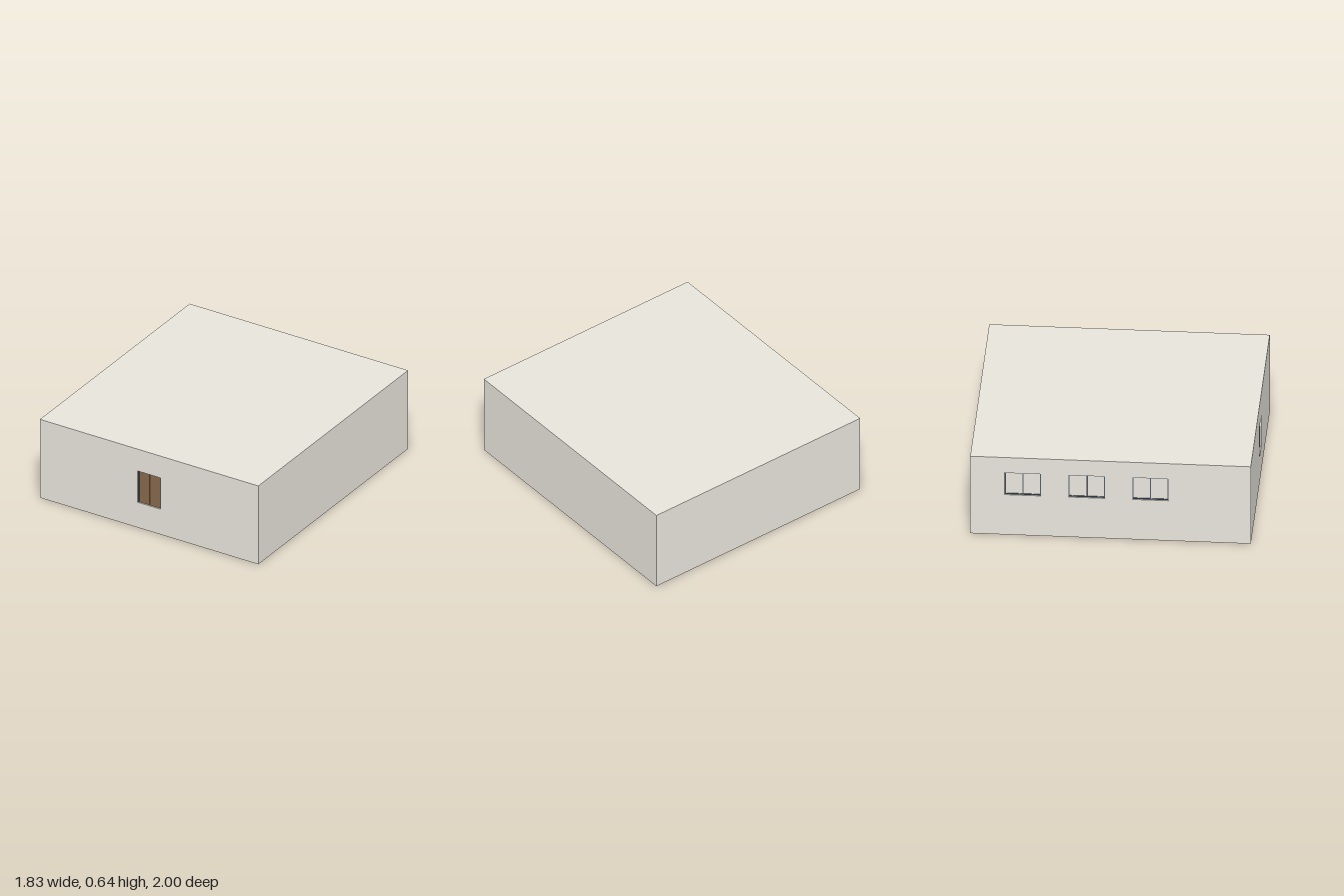
import * as THREE from 'three';

const mat = (name, color) => {
  const m = new THREE.MeshStandardMaterial({ color });
  m.name = name;
  return m;
};

export function createModel() {
  const wall = mat('warm grey plaster', 0xe7e4dc);
  const slate = mat('slate carpet', 0x687482);
  const timber = mat('timber floor', 0xc6ac80);
  const doorBrown = mat('door brown', 0x86684c);
  const frameBlue = mat('slate frame', 0x4e5c6c);
  const trim = mat('beige trim', 0xd8d1c2);

  const model = new THREE.Group();
  model.name = 'lectureHall';

  const W = 0.917, D = 1, H = 0.637, T = 0.03;

  const add = (name, geometry, material, parent = model) => {
    const mesh = new THREE.Mesh(geometry, material);
    mesh.name = name;
    parent.add(mesh);
    return mesh;
  };
  // Box given by its limits on each axis
  const box = (name, material, [x0, x1], [y0, y1], [z0, z1], parent) => {
    const mesh = add(name, new THREE.BoxGeometry(x1 - x0, y1 - y0, z1 - z0), material, parent);
    mesh.position.set((x0 + x1) / 2, (y0 + y1) / 2, (z0 + z1) / 2);
    return mesh;
  };
  const rect = (Kind, x0, x1, y0, y1) => new Kind([
    new THREE.Vector2(x0, y0), new THREE.Vector2(x1, y0),
    new THREE.Vector2(x1, y1), new THREE.Vector2(x0, y1),
  ]);
  // Upright wall with rectangular openings
  const piercedWall = (name, x0, x1, holes) => {
    const shape = rect(THREE.Shape, x0, x1, 0, H - T);
    holes.forEach((h) => shape.holes.push(rect(THREE.Path, ...h)));
    return add(name, new THREE.ExtrudeGeometry(shape, { depth: T, bevelEnabled: false }), wall);
  };

  // Shell: roof, plain walls and pierced walls, open underneath
  box('roof', wall, [-W, W], [H - T, H], [-D, D]);
  box('backWall', wall, [-W, W], [0, H - T], [-D, -D + T]);
  box('leftWall', wall, [W - T, W], [0, H - T], [-D + T, D - T]);
  const doorHalf = 0.097, doorSill = 0.205, doorTop = 0.459;
  piercedWall('frontWall', -W, W, [[-doorHalf, doorHalf, doorSill, doorTop]]).position.z = D - T;

  const windowCentres = [-0.625, -0.17, 0.285];
  const half = 0.129, sill = 0.33, head = 0.512;
  const sideWall = piercedWall('rightWall', -D + T, D - T,
    windowCentres.map((z) => [z - half, z + half, sill, head]));
  sideWall.rotation.y = -Math.PI / 2;
  sideWall.position.x = -W + T;

  // Double entrance door set back in its opening
  const door = new THREE.Group();
  door.name = 'entranceDoor';
  model.add(door);
  for (const s of [-1, 1]) {
    box('doorLeaf', doorBrown, s < 0 ? [-0.087, -0.003] : [0.003, 0.087],
      [doorSill, doorTop - 0.005], [0.978, 0.99], door);
    box('doorJamb', frameBlue, s < 0 ? [-doorHalf, -0.088] : [0.088, doorHalf],
      [doorSill, doorTop], [0.971, 0.992], door);
  }
  box('doorHead', frameBlue, [-0.088, 0.088], [doorTop - 0.005, doorTop], [0.971, 0.992], door);
  box('doorGap', frameBlue, [-0.088, 0.088], [doorSill, doorTop - 0.005], [0.97, 0.976], door);

  // Recessed two-pane windows with slim dark frames
  const bar = 0.007, frameX = [-W + 0.008, -W + T - 0.004], paneX = [-W + 0.014, -W + T - 0.006];
  windowCentres.forEach((zc) => {
    const win = new THREE.Group();
    win.name = 'sideWindow';
    model.add(win);
    for (const z of [zc - half, zc - bar / 2, zc + half - bar]) {
      box('windowUpright', frameBlue, frameX, [sill, head], [z, z + bar], win);
    }
    for (const y of [sill, head - bar]) {
      box('windowRail', frameBlue, frameX, [y, y + bar], [zc - half + bar, zc + half - bar], win);
    }
    box('windowPane', wall, paneX, [sill + bar, head - bar], [zc - half + bar, zc + half - bar], win);
  });

  // Flat floor at the back end, with three small floor sockets
  const stageEnd = -0.515;
  box('lowerFloor', timber, [-W + T, W - T], [0.002, 0.015], [-D + T, stageEnd]);
  for (const z of [-0.9, -0.82, -0.74]) {
    box('floorSocket', slate, [0.86, 0.875], [0, 0.006], [z - 0.015, z + 0.015]);
  }

  // Seating tiers rising towards the door, with aisle edging underneath
  const tiers = 6, run = (D - T - stageEnd) / tiers, rise = 0.034;
  for (let i = 0; i < tiers; i++) {
    const z = [stageEnd + i * run, stageEnd + (i + 1) * run];
    const top = (i + 1) * rise, base = top - rise + 0.004;
    box('seatingTier', slate, [-W + T, W - T], [base, top], z);
    for (const x of [-0.7, 0.7]) {
      box('aisleEdging', trim, [x - 0.016, x + 0.016],
        [Math.max(0.001, base - 0.012), base + 0.002], [z[0] + 0.006, z[1] - 0.006]);
    }
  }
  return model;
}
